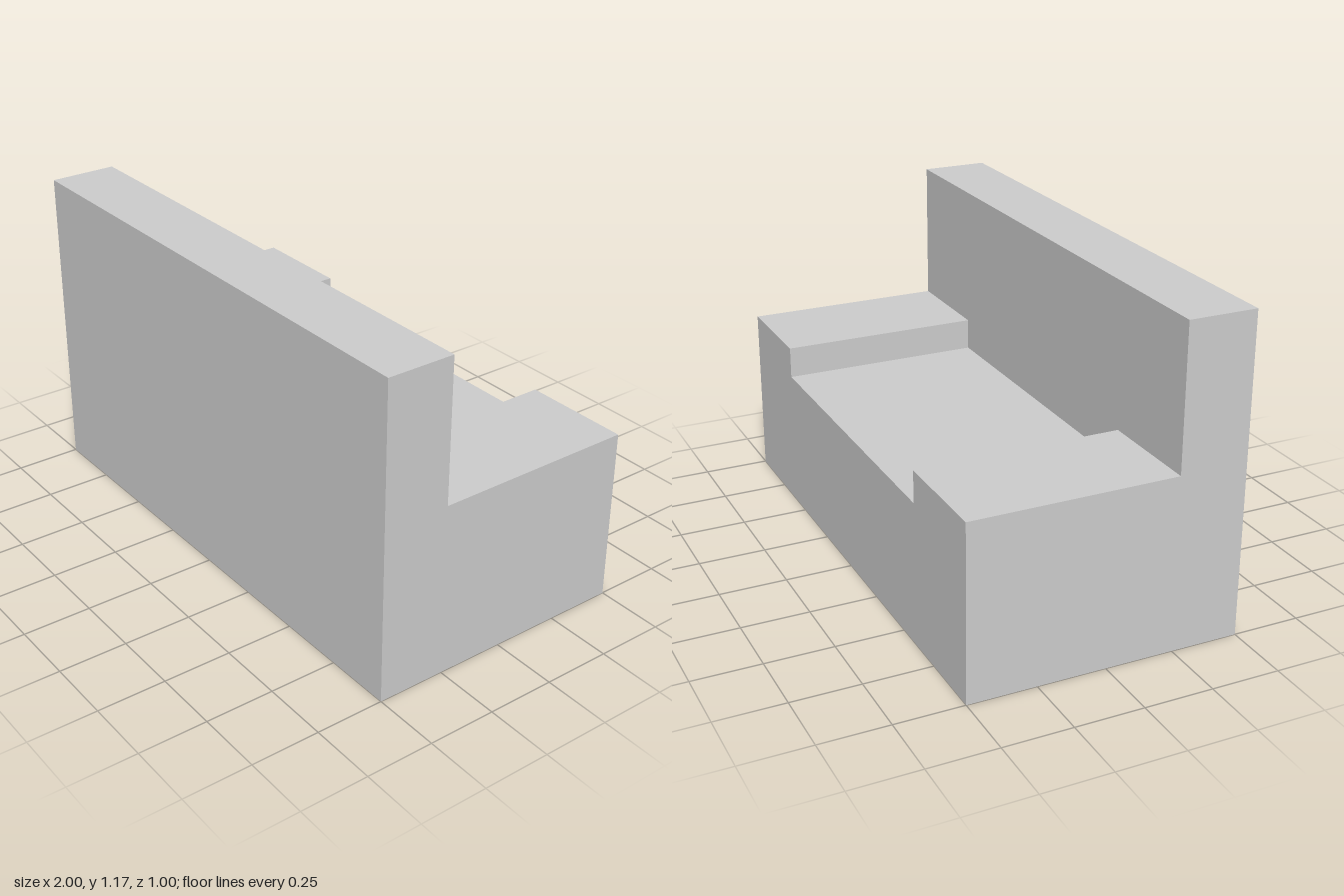
import * as THREE from 'three';

const material = new THREE.MeshStandardMaterial({ color: 0xcccccc, flatShading: true });

// Box given by its lower and upper limits on each axis
function block(name, [x0, x1], [y0, y1], [z0, z1]) {
  const mesh = new THREE.Mesh(new THREE.BoxGeometry(x1 - x0, y1 - y0, z1 - z0), material);
  mesh.position.set((x0 + x1) / 2, (y0 + y1) / 2, (z0 + z1) / 2);
  mesh.name = name;
  return mesh;
}

export function createModel() {
  const sofa = new THREE.Group();
  sofa.name = 'sofa';

  const seatTop = 0.525, armTop = 0.642, backTop = 1.167;
  const backFace = 0.25; // the backrest stands on the +z side

  // Solid seat base
  sofa.add(block('seatBase', [-1, 1], [0, seatTop], [-0.5, 0.5]));

  // Backrest across the full width
  sofa.add(block('backrest', [-1, 1], [seatTop, backTop], [backFace, 0.5]));

  // Low, wide armrests, butting against the backrest
  sofa.add(block('leftArmrest', [0.6, 1], [seatTop, armTop], [-0.5, backFace]));
  sofa.add(block('rightArmrest', [-1, -0.6], [seatTop, armTop], [-0.5, backFace]));

  return sofa;
}
